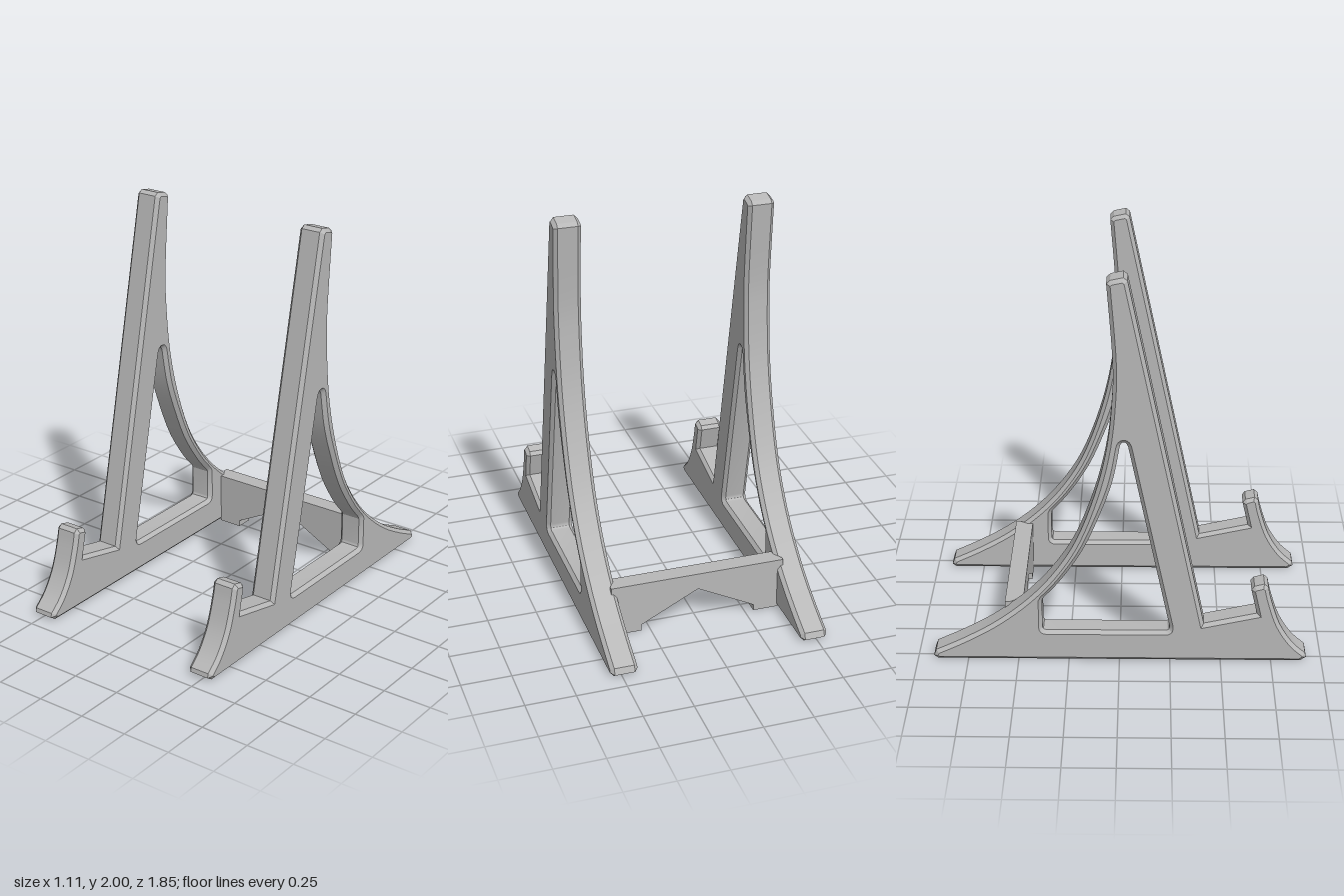
import * as THREE from 'three';
import { toCreasedNormals } from 'three/addons/utils/BufferGeometryUtils.js';

const pts = (list) => list.map(([a, b]) => new THREE.Vector2(a, b));

// Side profile of one leg: shape x is the model's z
function legShape() {
  const s = new THREE.Shape();
  s.moveTo(0.895, 0);
  s.lineTo(-0.9, 0);
  s.lineTo(-0.922, 0.015);
  s.lineTo(-0.91, 0.047);
  // swept back edge
  s.splineThru(pts([[-0.76, 0.12], [-0.6, 0.215], [-0.44, 0.345], [-0.31, 0.494], [-0.205, 0.67],
    [-0.115, 0.915], [-0.06, 1.15], [-0.035, 1.39], [-0.032, 1.6], [-0.06, 1.97]]));
  // tip and sloping front edge
  s.lineTo(-0.042, 1.987);
  s.lineTo(0.018, 2);
  s.lineTo(0.038, 1.985);
  s.lineTo(0.415, 0.207);
  // ledge and front hook
  s.lineTo(0.675, 0.265);
  s.lineTo(0.645, 0.395);
  s.lineTo(0.66, 0.414);
  s.lineTo(0.708, 0.427);
  s.lineTo(0.728, 0.41);
  s.splineThru(pts([[0.745, 0.335], [0.787, 0.21], [0.85, 0.108], [0.92, 0.042]]));
  s.lineTo(0.925, 0.02);
  s.closePath();

  // tall opening
  const h = new THREE.Path();
  h.moveTo(0.225, 0.165);
  h.quadraticCurveTo(0.252, 0.165, 0.246, 0.195);
  h.lineTo(0.042, 1.155);
  h.quadraticCurveTo(0.035, 1.18, 0.022, 1.18);
  h.quadraticCurveTo(0.006, 1.18, 0.001, 1.155);
  h.splineThru(pts([[-0.035, 0.97], [-0.1, 0.785], [-0.18, 0.605], [-0.285, 0.445], [-0.372, 0.345]]));
  h.lineTo(-0.38, 0.33);
  h.lineTo(-0.38, 0.185);
  h.quadraticCurveTo(-0.38, 0.165, -0.36, 0.165);
  h.closePath();
  s.holes.push(h);
  return s;
}

export function createModel() {
  const group = new THREE.Group();
  const grey = new THREE.MeshStandardMaterial({ color: 0xb8b8b8 });
  grey.name = 'grey';
  const add = (name, geometry) => {
    const mesh = new THREE.Mesh(geometry, grey);
    mesh.name = name;
    group.add(mesh);
    return mesh;
  };

  // Chamfered legs
  const width = 0.136, bevel = 0.018, depth = width - 2 * bevel;
  let leg = new THREE.ExtrudeGeometry(legShape(), {
    depth, curveSegments: 4, bevelEnabled: true, bevelSegments: 1,
    bevelSize: bevel, bevelThickness: bevel, bevelOffset: -bevel,
  });
  leg.translate(0, 0, -depth / 2);
  leg.rotateY(-Math.PI / 2);
  leg = toCreasedNormals(leg, 0.4);
  add('leftLeg', leg).position.x = 0.487;
  add('rightLeg', leg).position.x = -0.487;

  // Rear cross brace with a peaked cutout underneath
  const brace = new THREE.Shape(pts([[-0.42, 0], [-0.295, 0], [-0.295, 0.033], [0, 0.185],
    [0.295, 0.033], [0.295, 0], [0.42, 0], [0.42, 0.27], [-0.42, 0.27]]));
  const braceGeometry = new THREE.ExtrudeGeometry(brace, { depth: 0.09, bevelEnabled: false });
  braceGeometry.translate(0, 0, -0.57);
  add('crossBrace', braceGeometry);

  // Dovetail ends that slot into the legs
  for (const side of [1, -1]) {
    const tail = new THREE.Shape(pts([[0.41, 0.57], [0.448, 0.57], [0.448, 0.55],
      [0.418, 0.505], [0.41, 0.505]].map(([x, y]) => [x * side, y])));
    const tailGeometry = new THREE.ExtrudeGeometry(tail, { depth: 0.27, bevelEnabled: false });
    tailGeometry.rotateX(-Math.PI / 2);
    add(side > 0 ? 'leftDovetail' : 'rightDovetail', tailGeometry);
  }
  return group;
}
